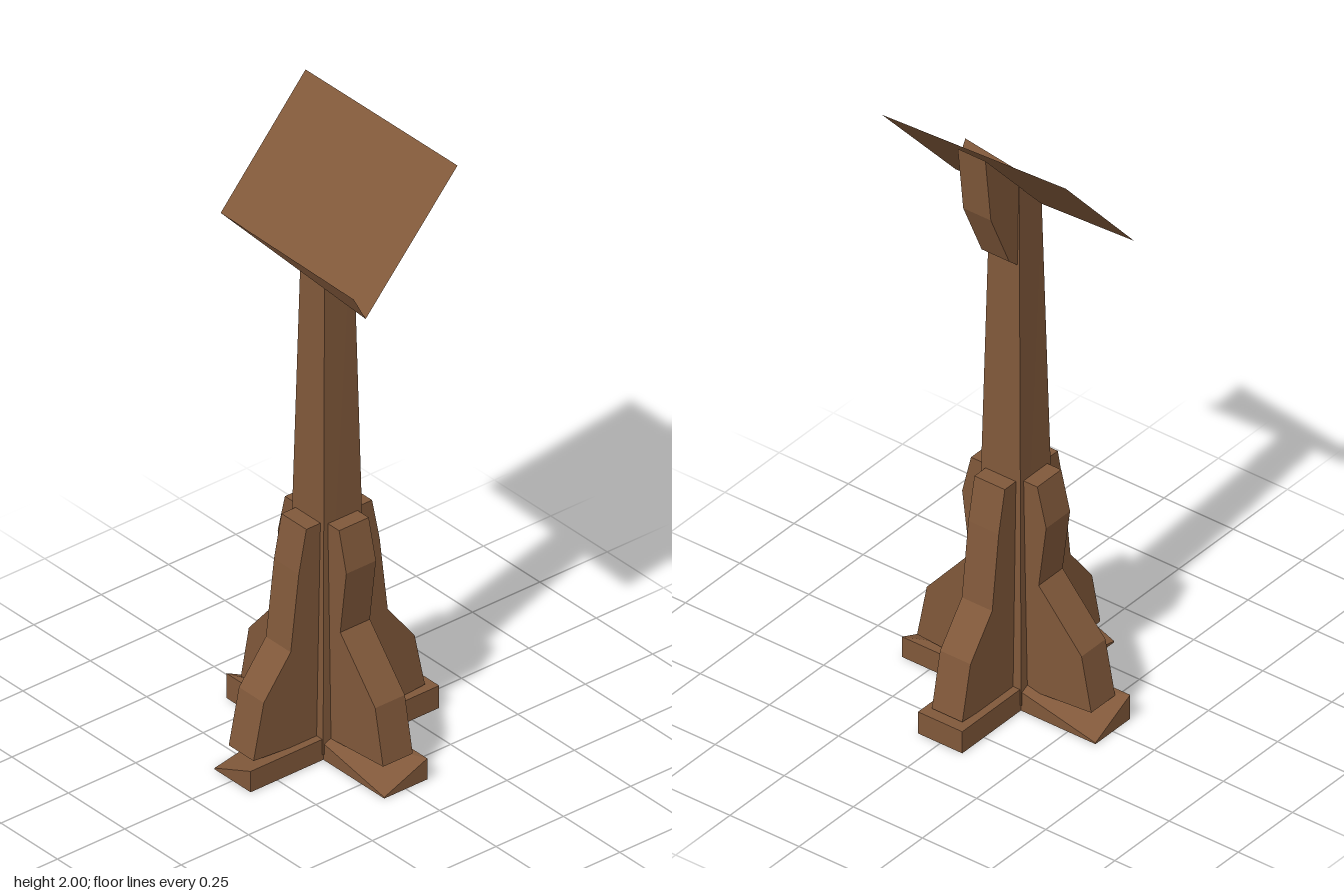
import * as THREE from 'three';

const wood = new THREE.MeshStandardMaterial({ color: 0x80583a, side: THREE.DoubleSide });
wood.name = 'brown wood';

function mesh(name, geometry) {
  const m = new THREE.Mesh(geometry, wood);
  m.name = name;
  return m;
}

// Faceted surface from corner points and triangles
function faceted(points, faces) {
  const g = new THREE.BufferGeometry();
  g.setAttribute('position', new THREE.Float32BufferAttribute(points.flat(), 3));
  g.setIndex(faces.flat());
  const flat = g.toNonIndexed();
  flat.computeVertexNormals();
  return flat;
}

// Flat bracket: profile in x-y, centred on z
function bracket(profile, width) {
  const shape = new THREE.Shape(profile.map(([x, y]) => new THREE.Vector2(x, y)));
  const g = new THREE.ExtrudeGeometry(shape, { depth: width, bevelEnabled: false });
  return g.translate(0, 0, -width / 2);
}

// Base arm along +x; the outer top corner on its +z side can be cut down
function baseArm(height, cut) {
  const w = 0.08, L = 0.35, outer = cut ? 0.004 : height;
  return faceted([
    [0, 0, w], [L, 0, w], [L, 0, -w], [0, 0, -w],
    [0, height, w], [L, outer, w], [L, height, -w], [0, height, -w],
  ], [
    [0, 3, 2], [0, 2, 1],           // underside
    [4, 6, 7], [4, 5, 6],           // top
    [0, 1, 5], [0, 5, 4],           // side
    [2, 3, 7], [2, 7, 6],           // side
    [1, 2, 6], [1, 6, 5],           // end
  ]);
}

export function createModel() {
  const model = new THREE.Group();
  model.name = 'lectern';

  // Cross-shaped base with a scrolled bracket on every arm
  const sideFoot = [[0.05, 0.06], [0.315, 0.08], [0.28, 0.26], [0.125, 0.44],
    [0.152, 0.65], [0.12, 0.78], [0.05, 0.78]];
  const deepFoot = [[0.05, 0.06], [0.318, 0.08], [0.28, 0.26], [0.18, 0.39],
    [0.15, 0.64], [0.122, 0.78], [0.05, 0.78]];
  const arms = [
    ['left', 0, sideFoot, 0.07, true],
    ['right', Math.PI, sideFoot, 0.083, true],
    ['front', -Math.PI / 2, deepFoot, 0.07, true],
    ['back', Math.PI / 2, deepFoot, 0.075, false],
  ];
  for (const [side, angle, profile, height, cut] of arms) {
    const arm = new THREE.Group();
    arm.name = side + 'Foot';
    arm.add(mesh(side + 'BaseArm', baseArm(height, cut)));
    arm.add(mesh(side + 'FootBracket', bracket(profile, 0.11)));
    arm.rotation.y = angle;
    model.add(arm);
  }

  // Tapered post, its top cut to the slope of the desk
  const post = new THREE.BoxGeometry(2, 1, 2).toNonIndexed();
  const p = post.attributes.position;
  for (let i = 0; i < p.count; i++) {
    const top = p.getY(i) > 0;
    const half = top ? 0.052 : 0.085;
    const z = p.getZ(i) * half;
    p.setXYZ(i, p.getX(i) * half, top ? 1.735 - 1.1 * z : 0.02, z);
  }
  post.computeVertexNormals();
  model.add(mesh('post', post));

  // Sloping desk, slightly twisted, with a lip that widens to one side
  const corners = [
    [-0.345, 1.645, 0.105], [0.307, 1.607, 0.113],
    [0.307, 1.985, -0.228], [-0.345, 2, -0.21],
  ];
  model.add(mesh('desk', faceted(corners, [[0, 1, 2], [0, 2, 3]])));
  model.add(mesh('deskLip', faceted(
    [corners[0], corners[1], [0.307, 1.69, 0.157]], [[0, 1, 2]])));

  // Bracket holding the desk at the back of the post
  const support = mesh('deskSupport', bracket([
    [0.03, 1.52], [0.06, 1.525], [0.095, 1.555], [0.18, 1.745],
    [0.205, 1.965], [0.03, 1.77]], 0.1));
  support.rotation.y = Math.PI / 2;
  model.add(support);

  return model;
}
